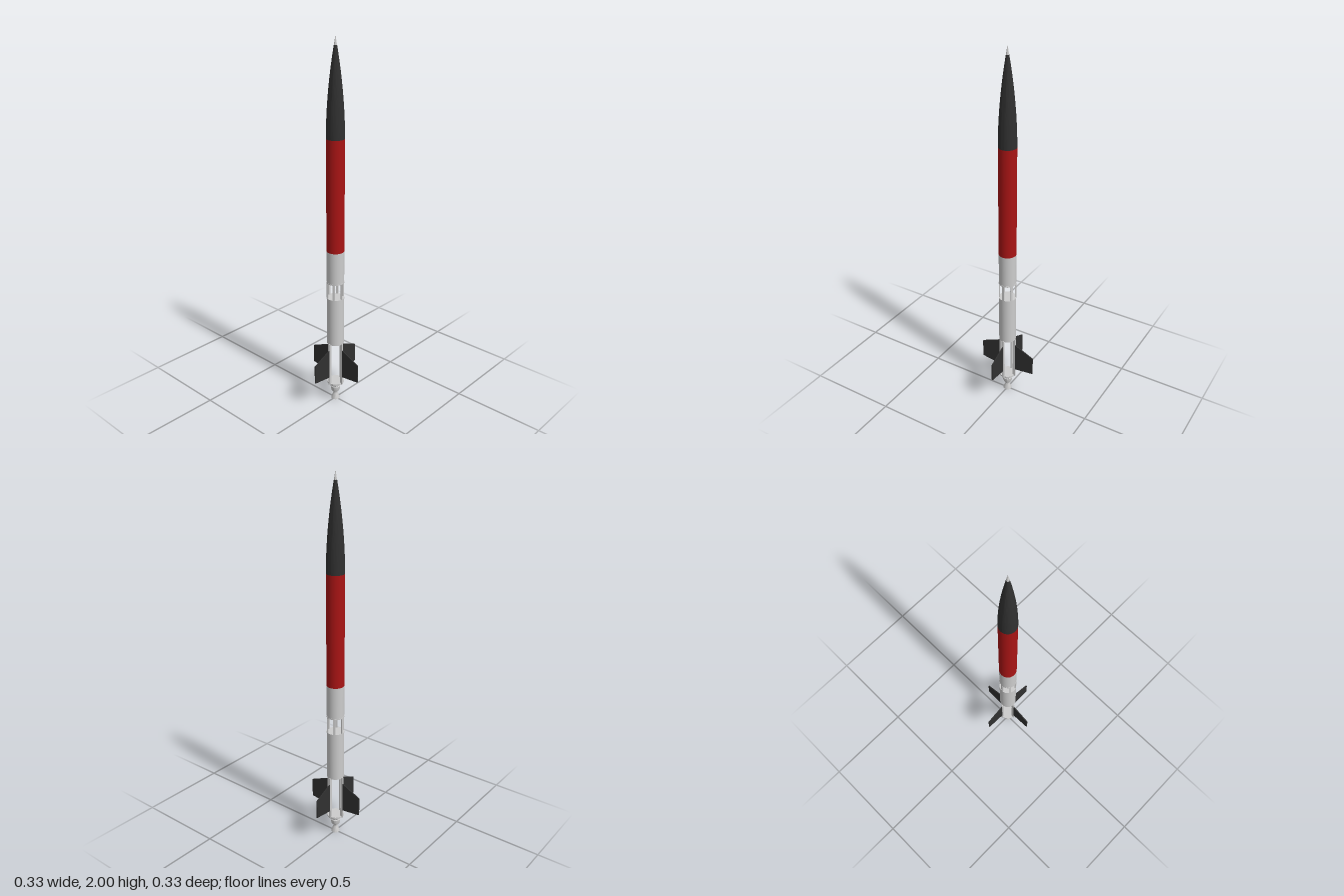
import * as THREE from 'three';
import { toCreasedNormals } from 'three/addons/utils/BufferGeometryUtils.js';

const R = 0.047;
const SEG = 48;
const mat = (color) => new THREE.MeshStandardMaterial({ color });

export function createModel() {
  const rocket = new THREE.Group();
  rocket.name = 'soundingRocket';
  const grey = mat(0xcccccc), red = mat(0xa81414), black = mat(0x303030);

  const add = (name, geometry, material, parent = rocket) => {
    const mesh = new THREE.Mesh(geometry, material);
    mesh.name = name;
    parent.add(mesh);
    return mesh;
  };
  const tube = (name, y0, y1, r, material) => {
    add(name, new THREE.CylinderGeometry(r, r, y1 - y0, SEG), material).position.y = (y0 + y1) / 2;
  };
  const lathe = (name, points, material) => {
    const g = new THREE.LatheGeometry(points.map(([r, y]) => new THREE.Vector2(r, y)), SEG);
    add(name, toCreasedNormals(g, 0.5), material);
  };

  // Ogive nose with a small metal tip
  const noseRadius = (y) => {
    const t = (y - 1.505) / (2 - 1.505);
    return R * Math.max(0, 1 - Math.pow(t, 1.9));
  };
  const ogive = (y0, y1, n) => Array.from({ length: n + 1 }, (_, i) => {
    const y = y0 + (y1 - y0) * i / n;
    return [noseRadius(y), y];
  });
  lathe('noseCone', ogive(1.505, 1.955, 20), black);
  lathe('noseTip', ogive(1.955, 2, 8), grey);

  // Body sections
  tube('payloadSection', 0.905, 1.505, R, red);
  tube('upperBody', 0.728, 0.905, R - 0.0005, grey);
  tube('lowerBody', 0.36, 0.632, R - 0.0005, grey);

  // Open interstage carried by six struts between two thin rims
  tube('interstageUpperRim', 0.724, 0.73, R + 0.0005, grey);
  tube('interstageLowerRim', 0.63, 0.636, R + 0.0005, grey);
  tube('upperBulkhead', 0.721, 0.725, 0.04, red);
  tube('bulkheadHub', 0.718, 0.722, 0.026, black);
  for (let i = 0; i < 6; i++) {
    const a = i * Math.PI / 3;
    const strut = add('interstageStrut', new THREE.BoxGeometry(0.006, 0.1, 0.011), grey);
    strut.position.set(Math.cos(a) * (R - 0.003), 0.68, Math.sin(a) * (R - 0.003));
    strut.rotation.y = -a;
  }

  // Four fins on thin mounting rails around the open tail bay
  const finShape = new THREE.Shape([
    [0.046, 0.155], [0.163, 0.17], [0.163, 0.275], [0.046, 0.327],
  ].map(([x, y]) => new THREE.Vector2(x, y)));
  const finGeometry = new THREE.ExtrudeGeometry(finShape, { depth: 0.006, bevelEnabled: false });
  finGeometry.translate(0, 0, -0.003);
  for (let i = 0; i < 4; i++) {
    const unit = new THREE.Group();
    unit.name = 'finUnit';
    unit.rotation.y = i * Math.PI / 2;
    add('fin', finGeometry, black, unit);
    add('finRail', new THREE.BoxGeometry(0.015, 0.256, 0.008), grey, unit).position.set(0.0445, 0.236, 0);
    rocket.add(unit);
  }

  // Tail plate, engine and bell nozzle
  tube('tailPlate', 0.108, 0.115, R, grey);
  lathe('engine', [
    [0, 0.045], [0.014, 0.045], [0.022, 0.052], [0.026, 0.065], [0.027, 0.08],
    [0.024, 0.084], [0.03, 0.09], [0.031, 0.109],
  ], grey);
  const bell = mat(0xcccccc);
  bell.side = THREE.DoubleSide;
  lathe('nozzleBell', [[0.023, 0], [0.02, 0.012], [0.015, 0.026], [0.012, 0.037], [0.014, 0.046]], bell);

  return rocket;
}
